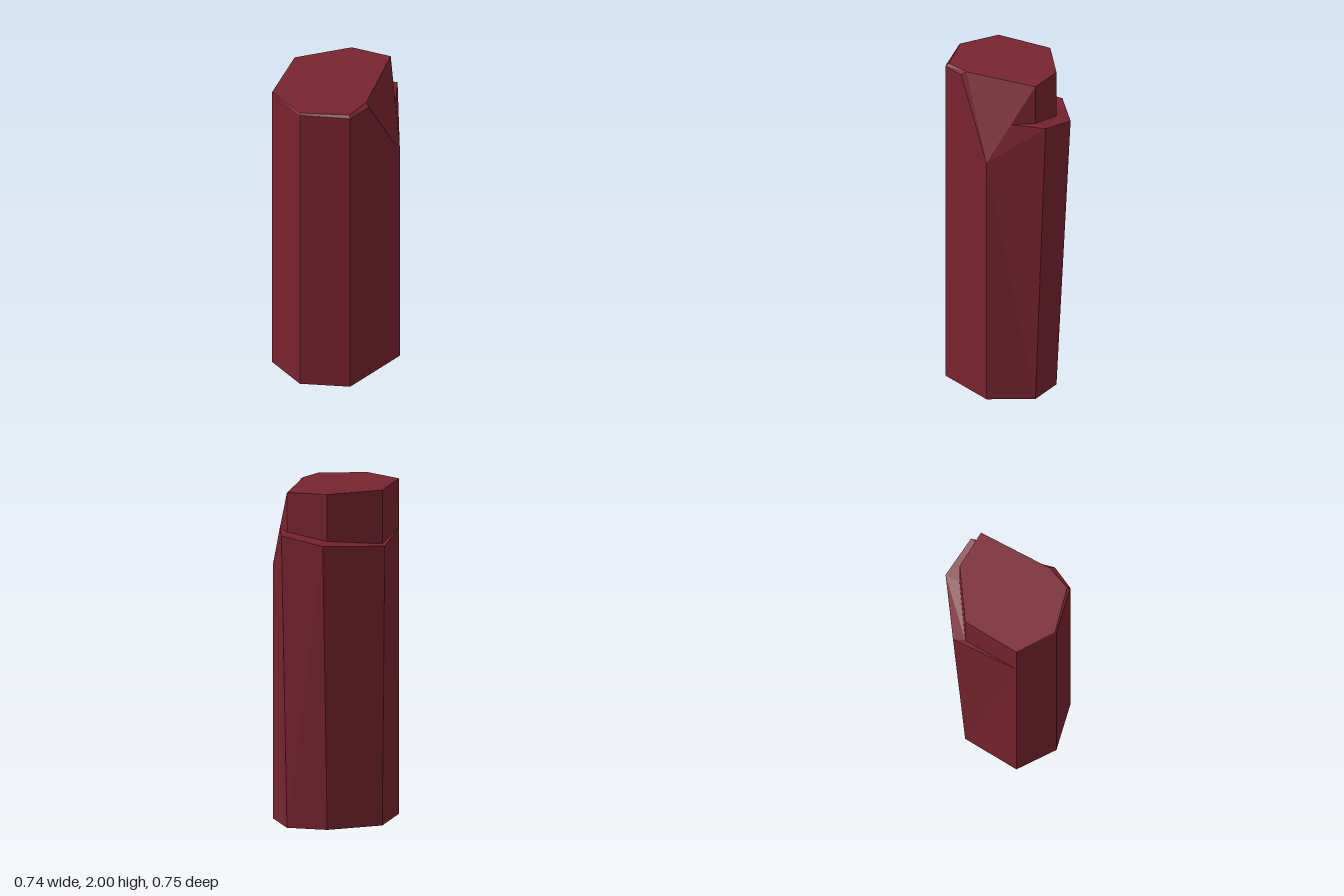
import * as THREE from 'three';

// Open-bottomed, seven-sided rock column; rings run counter-clockwise seen from above.
const base = [
  [-0.37, 0, 0.185], [-0.188, 0, 0.375], [0.108, 0, 0.373], [0.367, 0, 0.05],
  [0.285, 0, -0.224], [0.05, 0, -0.285], [-0.272, 0, -0.156],
];
const [a0, b0, c0, d0, e0, f0, g0] = base;
const at = (p, y) => [p[0], y, p[2]];

// Top rim, with a small worn bevel along the front
const aTop = at(a0, 2), eTop = at(e0, 2), fTop = at(f0, 2), gTop = at(g0, 2);
const bTop = [-0.188, 2, 0.366], cTop = [0.1, 2, 0.355], cutTop = [0.188, 2, 0.223];
const bBevel = at(b0, 1.99), cBevel = at(c0, 1.985), cutBevel = [0.205, 1.985, 0.25];

// Chipped corner and the ledge around the back
const dCut = at(d0, 1.515), ledgeStart = [0.327, 1.76, -0.087], ledgeEnd = at(a0, 1.71);
const eIn = at(e0, 1.765), fIn = at(f0, 1.72), gIn = at(g0, 1.68);
const eOut = [0.318, 1.755, -0.295], fOut = [0.076, 1.71, -0.378], gOut = [-0.286, 1.68, -0.226];

// Flat-shaded surface from convex polygons, each split as a fan
function facets(polygons) {
  const positions = [];
  for (const p of polygons) {
    for (let i = 1; i < p.length - 1; i++) positions.push(...p[0], ...p[i], ...p[i + 1]);
  }
  const geometry = new THREE.BufferGeometry();
  geometry.setAttribute('position', new THREE.Float32BufferAttribute(positions, 3));
  geometry.computeVertexNormals();
  return geometry;
}

export function createModel() {
  const stone = new THREE.MeshStandardMaterial({ color: 0x782430, side: THREE.DoubleSide });
  stone.name = 'dark red stone';
  const group = new THREE.Group();
  group.name = 'rockColumn';

  const parts = {
    frontWalls: [
      [aTop, a0, b0, bBevel, bTop],
      [b0, c0, cBevel, bBevel],
      [cBevel, c0, d0, dCut, cutBevel],
    ],
    // back walls lean outward up to the ledge
    lowerBackWalls: [
      [dCut, d0, e0, eOut, ledgeStart],
      [e0, f0, fOut, eOut],
      [f0, g0, gOut, fOut],
      [g0, a0, ledgeEnd, gOut],
    ],
    ledge: [
      [ledgeStart, eOut, eIn],
      [eOut, fOut, fIn, eIn],
      [fOut, gOut, gIn, fIn],
      [gOut, ledgeEnd, gIn],
    ],
    upperBackWalls: [
      [ledgeStart, eIn, eTop],
      [eIn, fIn, fTop, eTop],
      [fIn, gIn, gTop, fTop],
      [gIn, ledgeEnd, aTop, gTop],
    ],
    chippedCorner: [[dCut, ledgeStart, eTop, cutTop, cutBevel]],
    frontBevel: [
      [bBevel, cBevel, cTop, bTop],
      [cBevel, cutBevel, cutTop, cTop],
    ],
    topFace: [[aTop, bTop, cTop, cutTop, eTop, fTop, gTop]],
  };

  for (const [name, polygons] of Object.entries(parts)) {
    const mesh = new THREE.Mesh(facets(polygons), stone);
    mesh.name = name;
    group.add(mesh);
  }
  return group;
}
